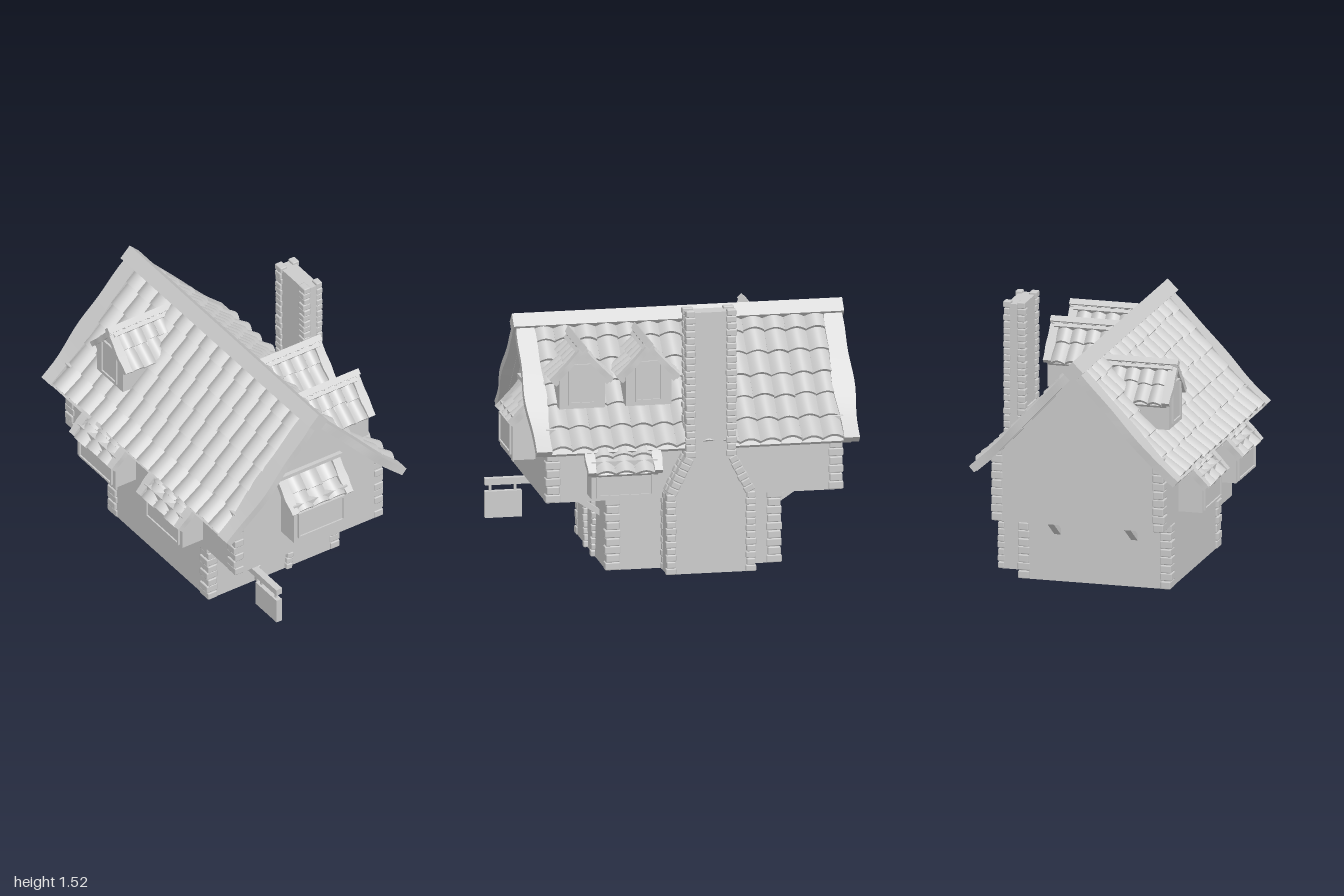
import * as THREE from 'three';
import { mergeGeometries, toCreasedNormals } from 'three/addons/utils/BufferGeometryUtils.js';
import { RoundedBoxGeometry } from 'three/addons/geometries/RoundedBoxGeometry.js';

const grey = new THREE.MeshStandardMaterial({ color: 0xcccccc, side: THREE.DoubleSide });
const V3 = (x, y, z) => new THREE.Vector3(x, y, z);
let seed = 7;
const jitter = (a) => {
  seed = (seed * 16807) % 2147483647;
  return (seed / 2147483647 - 0.5) * 2 * a;
};

function add(parent, name, geometry, x = 0, y = 0, z = 0) {
  const mesh = new THREE.Mesh(geometry, grey);
  mesh.name = name;
  mesh.position.set(x, y, z);
  parent.add(mesh);
  return mesh;
}
function sub(parent, name, x = 0, y = 0, z = 0, turn = 0) {
  const group = new THREE.Group();
  group.name = name;
  group.position.set(x, y, z);
  group.rotation.y = turn;
  parent.add(group);
  return group;
}
// box given by its limits on each axis
function block(parent, name, x0, x1, y0, y1, z0, z1) {
  return add(parent, name, new THREE.BoxGeometry(x1 - x0, y1 - y0, z1 - z0),
    (x0 + x1) / 2, (y0 + y1) / 2, (z0 + z1) / 2);
}
function prism(points, depth) {
  const shape = new THREE.Shape(points.map((p) => new THREE.Vector2(...p)));
  return new THREE.ExtrudeGeometry(shape, { depth, bevelEnabled: false });
}

// stones stacked along a path of 3D points, alternating in width
function stones(parent, name, path, count, sx, sz) {
  const curve = new THREE.CurvePath();
  for (let i = 1; i < path.length; i++) curve.add(new THREE.LineCurve3(path[i - 1], path[i]));
  const h = curve.getLength() / count;
  const parts = [];
  for (let i = 0; i < count; i++) {
    const u = (i + 0.5) / count;
    const k = i % 2 ? 1 : 0.86;
    const g = new RoundedBoxGeometry(sx * k + jitter(0.003), h * 0.94, sz * (1.86 - k) + jitter(0.003), 1, 0.006);
    const q = new THREE.Quaternion().setFromUnitVectors(V3(0, 1, 0), curve.getTangentAt(u));
    g.applyQuaternion(q);
    g.translate(...curve.getPointAt(u).toArray());
    parts.push(g);
  }
  add(parent, name, mergeGeometries(parts));
}

// board bent along a slope curve; bulge swells its two long edges
function board(curve, width, thick, off, z, bulge = 0) {
  const g = new THREE.BoxGeometry(1, 1, 1, 16, 1, 1);
  const pos = g.attributes.position;
  for (let i = 0; i < pos.count; i++) {
    const s = pos.getX(i) + 0.5;
    const p = curve.getPointAt(s), t = curve.getTangentAt(s);
    const d = off + pos.getY(i) * thick;
    const swell = bulge * (Math.sin(Math.PI * s) + 0.3 * Math.sin(13 * s));
    pos.setXYZ(i, p.x - t.y * d, p.y + t.x * d, z + pos.getZ(i) * (width + 2 * swell));
  }
  g.computeVertexNormals();
  return g;
}

// arched roof tile: x runs downhill, y is up, z across
function tile(w, length, rise, thick) {
  const top = [], under = [];
  for (let i = 0; i <= 8; i++) {
    const x = (i / 8 - 0.5) * w, y = rise * Math.cos(Math.PI * x / w);
    top.push([x, y]);
    under.unshift([x, y - thick]);
  }
  return toCreasedNormals(prism([...top, ...under].reverse(), length).rotateY(Math.PI / 2), 0.6);
}

// one roof slope falling toward +x, spread along z, with an edge board at each end
function slope(parent, name, pts, width, rows, cols, o) {
  const group = sub(parent, name);
  const curve = new THREE.SplineCurve(pts.map((p) => new THREE.Vector2(...p)));
  const inner = width - 2 * o.edge, w = inner / cols, parts = [];
  for (let r = 0; r < rows; r++) {
    const a = curve.getPointAt(r / rows * 0.97), b = curve.getPointAt((r + 1) / rows * 0.97);
    const angle = Math.atan2(b.y - a.y, b.x - a.x), len = a.distanceTo(b);
    for (let c = 0; c < cols; c++) {
      const g = tile(w, len * 1.08 + jitter(0.008), o.rise, 0.018);
      g.rotateZ(angle + 0.016 / len + jitter(0.012));
      const d = -0.028;
      g.translate(a.x - Math.sin(angle) * d, a.y + Math.cos(angle) * d, -inner / 2 + (c + 0.5) * w);
      parts.push(g);
    }
  }
  add(group, 'roofTiles', mergeGeometries(parts));
  add(group, 'roofDeck', board(curve, width - o.edge, 0.02, -0.04, 0));
  for (const s of [-1, 1]) {
    add(group, 'edgeBoard', board(curve, o.edge, o.thick, -o.thick / 2, s * (width - o.edge) / 2, o.bulge));
  }
  return group;
}

// window on a face looking toward +x
function windowPane(parent, x, y, w, h) {
  const g = sub(parent, 'window', x, y, 0);
  const t = 0.012;
  for (const s of [-1, 1]) {
    block(g, 'frameRail', 0, 0.012, s * h / 2 - t / 2, s * h / 2 + t / 2, -w / 2 - t / 2, w / 2 + t / 2);
    block(g, 'framePost', 0, 0.012, -h / 2, h / 2, s * w / 2 - t / 2, s * w / 2 + t / 2);
  }
  block(g, 'pane', -0.01, 0.003, -h / 2, h / 2, -w / 2, w / 2);
}

// projecting window with a tiled hood
function bay(parent, name, z, turn, x0, x1, y0, y1, w, winY, hood) {
  const g = sub(parent, name, 0, 0, z, turn);
  block(g, 'bayBox', x0, x1, y0, y1, -w / 2, w / 2);
  windowPane(g, x1, winY, w - 0.06, 0.16);
  slope(g, 'hood', hood, w + 0.05, 2, 3, { edge: 0.045, thick: 0.035, bulge: 0.005, rise: 0.025 });
  return g;
}

function dormer(parent, z, turn) {
  const g = sub(parent, 'dormer', 0, 0, z, turn);
  const body = prism([[-0.13, 0.95], [0.13, 0.95], [0.13, 1.13], [0, 1.27], [-0.13, 1.13]], 0.37);
  add(g, 'dormerBody', body.rotateY(Math.PI / 2), 0.09, 0, 0);
  windowPane(g, 0.46, 1.09, 0.145, 0.22);
  for (const s of [-1, 1]) {
    const side = sub(g, 'dormerRoof', 0.263, 0, 0, s * Math.PI / 2);
    slope(side, 'dormerSlope', [[0, 1.31], [0.08, 1.215], [0.18, 1.115]], 0.42, 2, 4,
      { edge: 0.045, thick: 0.03, bulge: 0.004, rise: 0.022 });
  }
  const cap = add(g, 'dormerRidge', new THREE.BoxGeometry(0.43, 0.036, 0.036), 0.263, 1.303, 0);
  cap.rotation.x = Math.PI / 4;
}

export function createModel() {
  const root = new THREE.Group();
  root.name = 'cottage';
  const house = sub(root, 'house', 0.012, 0, 0);

  // storeys, the upper one overhanging and rising into the gables
  block(house, 'lowerStorey', -0.435, 0.435, 0, 0.43, -0.53, 0.457);
  const gable = [[-0.495, 0.42], [0.495, 0.42], [0.495, 0.81], [0, 1.33], [-0.495, 0.81]];
  add(house, 'upperStorey', prism(gable, 1.685), 0, 0, -0.875);

  // corner stones
  for (const s of [-1, 1]) {
    for (const z of [-0.5, 0.422]) stones(house, 'lowerCornerStones', [V3(s * 0.415, 0, z), V3(s * 0.415, 0.42, z)], 9, 0.07, 0.088);
    for (const z of [-0.842, 0.774]) stones(house, 'upperCornerStones', [V3(s * 0.471, 0.42, z), V3(s * 0.471, 0.85, z)], 9, 0.07, 0.085);
  }

  // main roof
  const line = [[0, 1.375], [0.25, 1.11], [0.47, 0.872], [0.61, 0.745]];
  for (const turn of [0, Math.PI]) {
    const side = sub(house, 'mainRoof', 0, 0, -0.035, turn);
    slope(side, 'mainSlope', line, 1.84, 6, 14, { edge: 0.085, thick: 0.045, bulge: 0.018, rise: 0.03 });
  }
  const ridge = add(house, 'ridgeBeam', new THREE.BoxGeometry(0.088, 0.088, 1.885), 0, 1.337, -0.033);
  ridge.rotation.z = Math.PI / 4;

  // dormers and projecting windows
  dormer(house, 0.6, 0);
  dormer(house, 0.22, 0);
  dormer(house, -0.495, Math.PI);
  const sideHood = [[0.52, 0.785], [0.6, 0.71], [0.678, 0.628]];
  for (const [z, turn] of [[0.393, 0], [0.297, Math.PI], [-0.37, Math.PI]]) {
    bay(house, 'sideBay', z, turn, 0.45, 0.635, 0.465, 0.68, 0.375, 0.56, sideHood);
  }
  const front = bay(house, 'frontBay', 0, -Math.PI / 2, 0.78, 0.94, 0.595, 0.85, 0.36, 0.71,
    [[0.81, 0.985], [0.88, 0.9], [0.965, 0.815]]);
  front.position.x = -0.007;
  block(front, 'hoodTopBoard', 0.8, 0.835, 0.973, 0.995, -0.218, 0.218);

  // braces below the overhang, front and back
  for (const x of [-0.23, 0.218]) {
    for (const [z0, z1] of [[0.45, 0.67], [-0.52, -0.74]]) {
      const brace = add(house, 'brace', new THREE.BoxGeometry(0.038, 0.03, 0.28), x, 0.355, (z0 + z1) / 2);
      brace.rotation.x = -Math.sign(z0) * 0.59;
    }
  }

  // door surround
  for (const s of [-1, 1]) {
    stones(root, 'doorJamb', [V3(0.005 + s * 0.1, 0, 0.462), V3(0.005 + s * 0.129, 0.3, 0.462)], 8, 0.042, 0.04);
  }
  stones(root, 'doorLintel', [V3(-0.13, 0.31, 0.462), V3(0.14, 0.31, 0.462)], 7, 0.042, 0.04);

  // chimney, wide at the foot and tapering to the shaft
  const chimney = sub(root, 'chimney', 0, 0, -0.106);
  const foot = [[-0.25, 0], [0.25, 0], [0.25, 0.46], [0.138, 0.68], [0.138, 0.9], [-0.138, 0.9], [-0.138, 0.68], [-0.25, 0.46]];
  add(chimney, 'chimneyFoot', prism(foot, 0.178).rotateY(Math.PI / 2), 0.435, 0, 0);
  block(chimney, 'chimneyShaft', 0.515, 0.613, 0.85, 1.505, -0.138, 0.138);
  for (const s of [-1, 1]) {
    const at = (x, y, half) => V3(x, y, s * half);
    stones(chimney, 'outerStones', [at(0.611, 0, 0.228), at(0.611, 0.46, 0.228), at(0.611, 0.68, 0.117), at(0.611, 1.52, 0.117)], 40, 0.042, 0.06);
    stones(chimney, 'innerFootStones', [at(0.476, 0, 0.228), at(0.476, 0.42, 0.228)], 11, 0.04, 0.06);
    stones(chimney, 'innerShaftStones', [at(0.526, 0.42, 0.228), at(0.526, 0.46, 0.228), at(0.526, 0.68, 0.117), at(0.526, 1.52, 0.117)], 29, 0.05, 0.06);
  }

  // hanging sign on its beam
  const sign = sub(root, 'hangingSign', -0.317, 0, 0);
  block(sign, 'signBeam', -0.02, 0.02, 0.332, 0.37, 0.44, 1.0);
  block(sign, 'signBoard', -0.018, 0.018, 0.143, 0.295, 0.79, 1.0);
  for (const z of [0.825, 0.968]) block(sign, 'signLink', -0.007, 0.007, 0.29, 0.335, z - 0.007, z + 0.007);
  return root;
}
